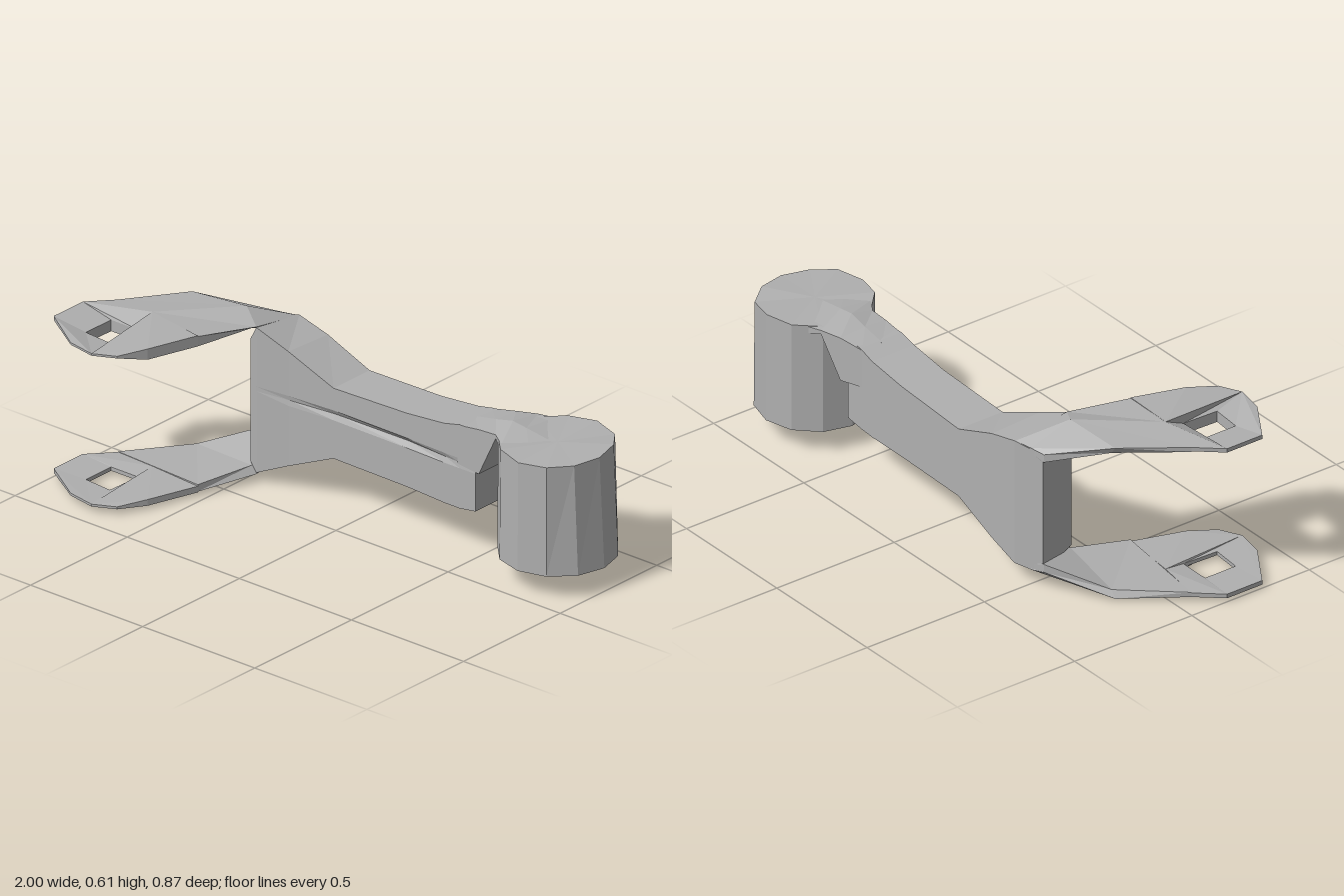
import * as THREE from 'three';

const metal = new THREE.MeshStandardMaterial({ color: 0xb0b0b0, flatShading: true });
metal.name = 'grey metal';

// Closed faceted solid skinned over a row of equal-length cross-section rings
function loft(rings) {
  const pos = [];
  const tri = (a, b, c) => pos.push(...a, ...b, ...c);
  const n = rings[0].length, last = rings[rings.length - 1];
  for (let r = 0; r < rings.length - 1; r++) {
    const a = rings[r], b = rings[r + 1];
    for (let i = 0; i < n; i++) {
      const j = (i + 1) % n;
      tri(a[i], a[j], b[j]);
      tri(a[i], b[j], b[i]);
    }
  }
  for (let i = 1; i < n - 1; i++) {
    tri(rings[0][0], rings[0][i + 1], rings[0][i]);
    tri(last[0], last[i], last[i + 1]);
  }
  const g = new THREE.BufferGeometry();
  g.setAttribute('position', new THREE.Float32BufferAttribute(pos, 3));
  g.computeVertexNormals();
  return g;
}

// Upside-down copy of a non-indexed geometry about mid height, winding restored
function upsideDown(g) {
  const p = g.attributes.position, a = new THREE.Vector3(), b = new THREE.Vector3();
  for (let i = 0; i < p.count; i += 3) {
    a.fromBufferAttribute(p, i + 1);
    b.fromBufferAttribute(p, i + 2);
    p.setXYZ(i + 1, b.x, b.y, b.z);
    p.setXYZ(i + 2, a.x, a.y, a.z);
  }
  for (let i = 0; i < p.count; i++) p.setY(i, 0.62 - p.getY(i));
  g.computeVertexNormals();
  return g;
}

// Jaw shank: curves forward and outward from the web
function shankGeometry(inner, front) {
  return loft([
    [[-0.45, 0.55, -0.33], [-0.52, 0.548, -0.315], [-0.57, 0.54, -0.3], [-0.57, 0.51, -0.3], [-0.45, 0.51, -0.32]],
    [[-0.45, 0.585, -0.11], [-0.54, 0.617, -0.165], [-0.77, 0.605, -0.15], [-0.75, 0.578, -0.15], [-0.47, inner, -0.11]],
    [[-0.53, 0.6, 0.1], [-0.75, 0.617, 0.08], [-0.92, 0.603, 0.06], [-0.92, 0.585, 0.06], [-0.53, front, 0.1]],
  ]);
}

// Jaw pad: flat plate with a square hole; underside heights at tip, rim and hole
function padGeometry(holeTop, holeBottom, rimBottom, tipBottom) {
  const v = (x, y) => new THREE.Vector2(x, y);
  const shape = new THREE.Shape([
    v(-0.53, 0.1), v(-0.59, 0.29), v(-0.64, 0.39), v(-0.72, 0.43), v(-0.83, 0.41),
    v(-1, 0.3), v(-1, 0.15), v(-0.92, 0.06), v(-0.75, 0.08),
  ]);
  shape.holes.push(new THREE.Path([v(-0.865, 0.16), v(-0.745, 0.16), v(-0.75, 0.3), v(-0.865, 0.29)]));
  const g = new THREE.ExtrudeGeometry(shape, { depth: 1, bevelEnabled: false });
  g.rotateX(Math.PI / 2);
  const p = g.attributes.position;
  for (let i = 0; i < p.count; i++) {
    const x = p.getX(i), z = p.getZ(i), top = p.getY(i) > -0.5;
    const hole = Math.abs(x + 0.805) < 0.07 && Math.abs(z - 0.23) < 0.08;
    const rim = z < 0.11 && x > -0.8 && x < -0.7 ? 0.617 : z > 0.35 ? 0.596 : 0.603;
    const under = x < -0.9 || z > 0.35 ? tipBottom : rimBottom;
    p.setY(i, top ? (hole ? holeTop : rim) : (hole ? holeBottom : under));
  }
  g.computeVertexNormals();
  return g;
}

export function createModel() {
  const model = new THREE.Group();
  model.name = 'bracketArm';
  const add = (name, geometry) => {
    const m = new THREE.Mesh(geometry, metal);
    m.name = name;
    model.add(m);
  };

  // Arm with flared web: back x, front x, top, bottom, back z, front z, groove depth, back edge drop
  add('arm', loft([
    [-0.565, -0.475, 0.535, 0.075, -0.3, -0.11, 0, 0],
    [-0.45, -0.45, 0.583, 0.04, -0.333, -0.11, 0, 0.032],
    [-0.32, -0.32, 0.528, 0.1, -0.33, -0.125, 0.003, 0.01],
    [-0.13, -0.13, 0.445, 0.182, -0.325, -0.138, 0.01, 0],
    [0.2, 0.2, 0.455, 0.18, -0.315, -0.135, 0.015, 0],
    [0.37, 0.37, 0.472, 0.175, -0.31, -0.13, 0.008, 0],
    [0.44, 0.44, 0.488, 0.175, -0.305, -0.13, 0.003, 0],
    [0.51, 0.51, 0.49, 0.185, -0.305, -0.13, 0.003, 0],
  ].map(([bx, fx, top, bot, bz, fz, d, drop]) => [
    [bx, top - drop, bz], [fx, top, fz], [fx, 0.362, fz], [fx, 0.345, fz - d], [fx, 0.325, fz],
    [fx, bot, fz], [bx, bot + drop, bz],
  ])));

  // Neck blending the arm into the top of the post: x, edge top, ridge top, bottom, back z, front z
  add('neck', loft([
    [0.43, 0.484, 0.486, 0.34, -0.305, -0.13],
    [0.525, 0.496, 0.503, 0.33, -0.325, -0.13],
    [0.6, 0.5, 0.52, 0.485, -0.35, -0.13],
    [0.66, 0.497, 0.512, 0.47, -0.37, -0.09],
    [0.78, 0.485, 0.495, 0.47, -0.36, -0.1],
  ].map(([x, edge, ridge, bot, bz, fz]) => [
    [x, edge, bz], [x, ridge, -0.22], [x, edge, fz], [x, bot, fz], [x, bot, bz],
  ])));

  // Post: drum with a slightly uneven top and an outer side that leans in
  const post = new THREE.CylinderGeometry(0.205, 0.208, 0.41, 12);
  const p = post.attributes.position;
  for (let i = 0; i < p.count; i++) {
    const x = p.getX(i);
    if (p.getY(i) > 0) {
      p.setY(i, 0.203 + 0.005 * Math.sin(x * 17 + p.getZ(i) * 23));
      if (x > 0.15) p.setX(i, x * 0.91);
    }
  }
  post.translate(0.792, 0.295, -0.229);
  post.computeVertexNormals();
  add('post', post);

  // Upper and lower jaws, the lower one thinner
  add('upperJawShank', shankGeometry(0.575, 0.563));
  add('upperJawPad', padGeometry(0.58, 0.538, 0.563, 0.588));
  add('lowerJawShank', upsideDown(shankGeometry(0.558, 0.574)));
  add('lowerJawPad', upsideDown(padGeometry(0.604, 0.59, 0.58, 0.587)));
  return model;
}
